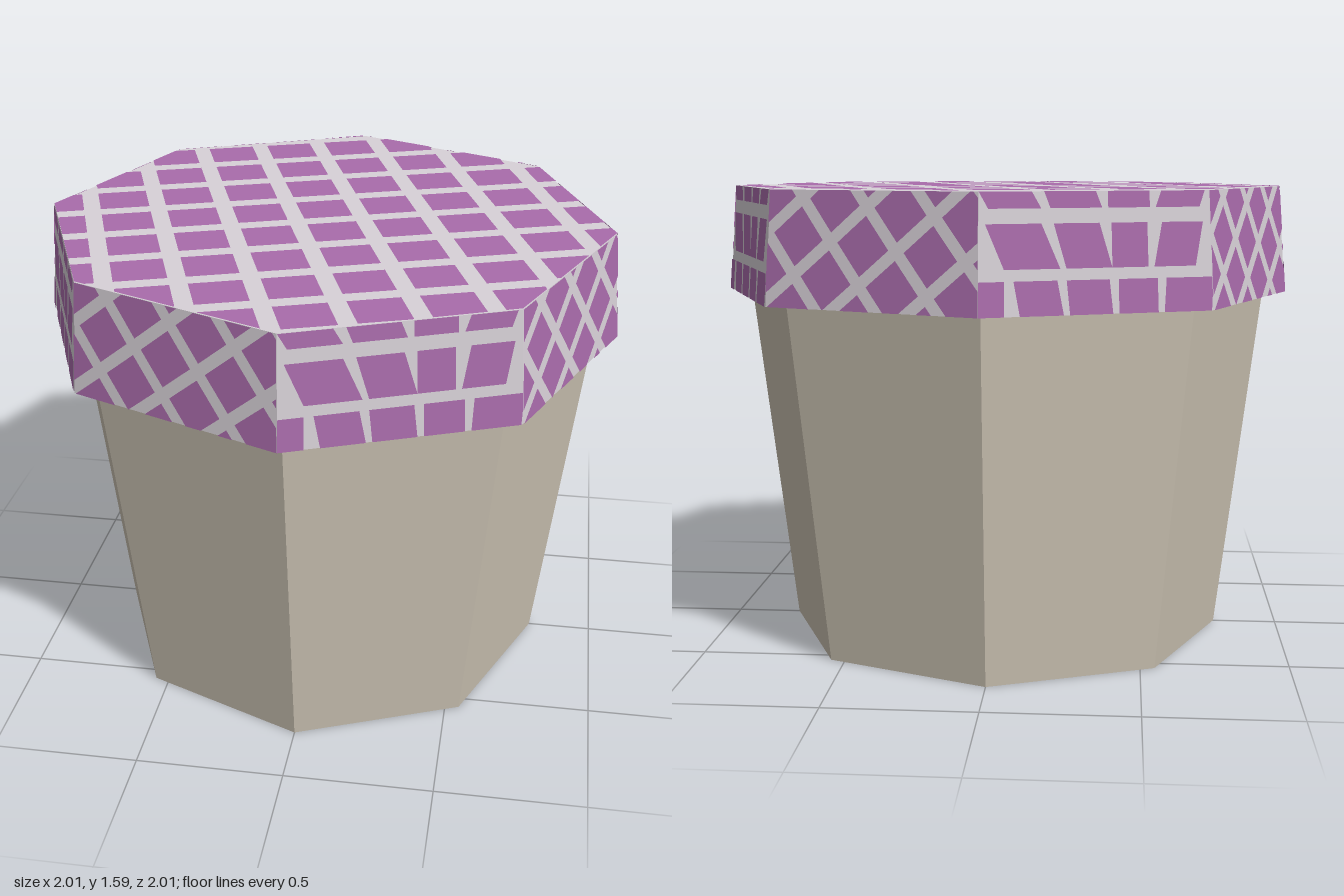
import * as THREE from 'three';

const SIDES = 8;
const JAR_BASE = 0.775, JAR_TOP = 0.965, JAR_HEIGHT = 1.58;
const LID_BOTTOM = 1.22, LID_TOP = 1.59, RIM = 1.0, LID_RADIUS = 0.97;

const mat = (name, color, side = THREE.FrontSide) =>
  Object.assign(new THREE.MeshStandardMaterial({ color, side, flatShading: true }), { name });

// Clip a polygon to a convex counter-clockwise outline
function clip(poly, outline) {
  outline.forEach((a, i) => {
    const b = outline[(i + 1) % outline.length];
    const dist = p => (b[0] - a[0]) * (p[1] - a[1]) - (b[1] - a[1]) * (p[0] - a[0]);
    const out = [];
    poly.forEach((p, k) => {
      const q = poly[(k + 1) % poly.length], dp = dist(p), dq = dist(q);
      if (dp >= 0) out.push(p);
      if (dp * dq < 0) {
        const f = dp / (dp - dq);
        out.push([p[0] + (q[0] - p[0]) * f, p[1] + (q[1] - p[1]) * f]);
      }
    });
    poly = out;
  });
  return poly;
}

// Tilted lattice of square patches
function lattice(angle, pitch, size, [ox, oy], reach) {
  const c = Math.cos(angle), s = Math.sin(angle), cells = [];
  for (let i = -reach; i <= reach; i++) for (let j = -reach; j <= reach; j++) {
    cells.push([[-1, -1], [1, -1], [1, 1], [-1, 1]].map(([a, b]) => {
      const u = i * pitch + a * size / 2, v = j * pitch + b * size / 2;
      return [ox + u * c - v * s, oy + u * s + v * c];
    }));
  }
  return cells;
}

// Turn clipped patches into one thin surface through a 2D -> 3D mapping
function patches(cells, outline, map) {
  const pos = [];
  for (const cell of cells) {
    const p = clip(cell, outline);
    for (let k = 1; k < p.length - 1; k++)
      for (const v of [p[0], p[k], p[k + 1]]) pos.push(...map(v));
  }
  const g = new THREE.BufferGeometry();
  g.setAttribute('position', new THREE.Float32BufferAttribute(pos, 3));
  g.computeVertexNormals();
  return g;
}

export function createModel() {
  const model = new THREE.Group();
  const jarMat = mat('beige jar', 0xcdc4b4);
  const clothMat = mat('pale cloth', 0xd8d2d8, THREE.DoubleSide);
  const checkMat = mat('purple checks', 0xaa6cac, THREE.DoubleSide);
  const add = (name, geo, material) => {
    const m = new THREE.Mesh(geo, material);
    m.name = name;
    model.add(m);
    return m;
  };

  // Tapered jar, running up inside the lid
  add('jar', new THREE.CylinderGeometry(JAR_TOP, JAR_BASE, JAR_HEIGHT, SIDES), jarMat)
    .position.y = JAR_HEIGHT / 2;

  // Open-bottomed cloth lid
  const lidHeight = LID_TOP - LID_BOTTOM;
  add('lidSkirt', new THREE.CylinderGeometry(LID_RADIUS, RIM, lidHeight, SIDES, 1, true), clothMat)
    .position.y = LID_BOTTOM + lidHeight / 2;
  add('lidTop', new THREE.CircleGeometry(LID_RADIUS, SIDES).rotateX(-Math.PI / 2), clothMat)
    .position.y = LID_TOP;

  // Checks on the lid top
  const octagon = Array.from({ length: SIDES }, (_, i) => {
    const a = i / SIDES * Math.PI * 2;
    return [LID_RADIUS * Math.cos(a), LID_RADIUS * Math.sin(a)];
  });
  add('topChecks', patches(lattice(0.34, 0.225, 0.168, [-0.03, 0.085], 7), octagon,
    ([x, y]) => [x, LID_TOP + 0.003, -y]), checkMat);

  // Skirt patterns, in face units: width 0.765, height 0.37
  const W = 0.765;
  const diamonds = lattice(0.68, 0.172, 0.133, [0.36, 0.2], 5);
  const rows = [];
  const row = (y0, y1, edges) => edges.forEach(([a, b, lean]) =>
    rows.push([[a + lean, y0], [b + lean, y0], [b, y1], [a, y1]]));
  row(0, 0.105, [[0, 0.08, 0], [0.11, 0.25, 0.02], [0.28, 0.42, 0.01], [0.45, 0.58, 0], [0.61, 0.77, -0.01]]);
  row(0.14, 0.275, [[0.02, 0.2, 0.06], [0.24, 0.39, 0.04], [0.43, 0.55, 0], [0.6, 0.74, -0.03]]);
  row(0.32, 0.37, [[0, 0.17, 0.03], [0.21, 0.38, 0.02], [0.42, 0.56, 0], [0.6, 0.75, -0.02]]);

  // Checks around the skirt, alternating rows and diamonds, inside and out
  const face = [[0, 0], [W, 0], [W, lidHeight], [0, lidHeight]];
  for (let i = 0; i < SIDES; i++) {
    const a0 = i / SIDES * Math.PI * 2, a1 = (i + 1) / SIDES * Math.PI * 2;
    const mid = (a0 + a1) / 2;
    for (const lift of [0.003, -0.003]) {
      const map = ([u, v]) => {
        const s = u / W, r = RIM + (LID_RADIUS - RIM) * v / lidHeight;
        return [
          r * (Math.sin(a0) * (1 - s) + Math.sin(a1) * s) + lift * Math.sin(mid),
          LID_BOTTOM + v,
          r * (Math.cos(a0) * (1 - s) + Math.cos(a1) * s) + lift * Math.cos(mid),
        ];
      };
      add(lift > 0 ? 'skirtChecks' : 'skirtLiningChecks',
        patches(i % 2 ? diamonds : rows, face, map), checkMat);
    }
  }
  return model;
}
